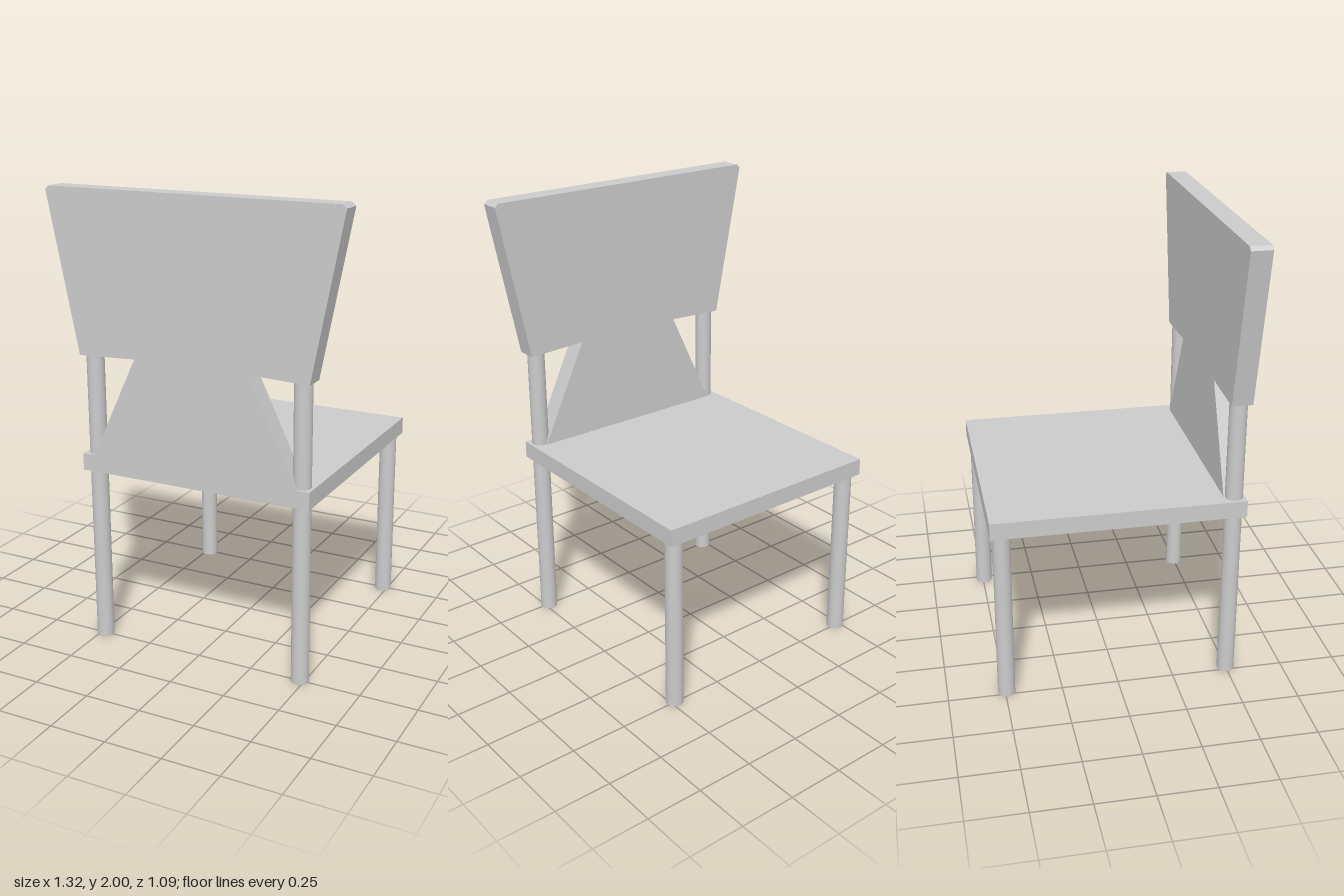
import * as THREE from 'three';

export function createModel() {
  const group = new THREE.Group();
  group.name = 'chair';
  const material = new THREE.MeshStandardMaterial({ color: 0xcccccc });

  const add = (name, geometry, x, y, z) => {
    const mesh = new THREE.Mesh(geometry, material);
    mesh.name = name;
    mesh.position.set(x, y, z);
    group.add(mesh);
  };

  const seatBottom = 0.79, seatTop = 0.865;

  // Seat board
  add('seat', new THREE.BoxGeometry(1.062, seatTop - seatBottom, 1.09), 0, (seatBottom + seatTop) / 2, 0);

  // Round legs; the pair under the backrest runs on up into it as posts
  const legRadius = 0.038;
  const addLeg = (name, height, x, z) =>
    add(name, new THREE.CylinderGeometry(legRadius, legRadius, height, 24), x, height / 2, z);
  for (const [side, x] of [['left', 0.48], ['right', -0.48]]) {
    addLeg(`${side}Leg`, seatBottom + 0.02, x, -0.494);
    addLeg(`${side}BackrestPost`, 1.33, x, 0.498);
  }

  // Backrest: flared panel with clipped top corners on a tapering splat
  const half = [
    [0.475, seatTop - 0.005], [0.26, 1.313], [0.526, 1.302], [0.662, 1.985], [0.645, 2],
  ];
  const outline = [...half, ...half.map(([x, y]) => [-x, y]).reverse()];
  const shape = new THREE.Shape(outline.map(([x, y]) => new THREE.Vector2(x, y)));
  const thickness = 0.09;
  add('backrest', new THREE.ExtrudeGeometry(shape, { depth: thickness, bevelEnabled: false }), 0, 0, 0.545 - thickness);

  return group;
}
